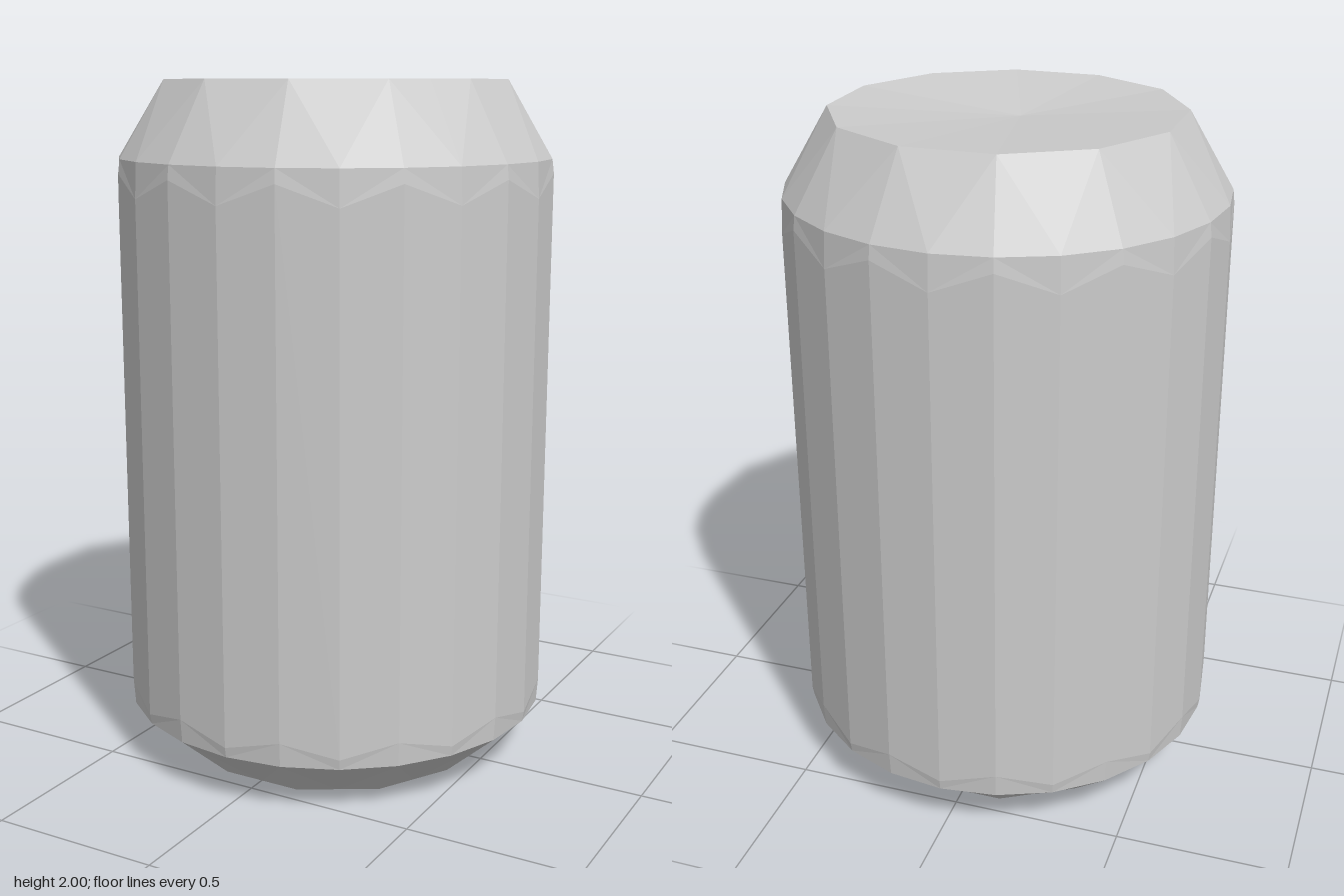
import * as THREE from 'three';

const SIDES = 24;

// One ring of points. 'coarse' puts every second point on the chord of a 12-sided outline;
// 'jag' alternates the height to give faceted, triangulated edges.
function ring(radius, y, { coarse = false, jag = 0, z = 0 } = {}) {
  const points = [];
  for (let i = 0; i < SIDES; i++) {
    const t = (i / SIDES) * Math.PI * 2;
    const r = coarse && i % 2 === 0 ? radius * Math.cos(Math.PI / 12) : radius;
    points.push([r * Math.sin(t), y + (i % 2 ? jag : -jag), r * Math.cos(t) + z]);
  }
  return points;
}

// Joins rings listed along the profile from underside centre to top centre
function skin(name, rings, material) {
  const pos = [];
  for (let k = 0; k < rings.length - 1; k++) {
    const a = rings[k], b = rings[k + 1];
    for (let i = 0; i < SIDES; i++) {
      const j = (i + 1) % SIDES;
      // alternate the diagonal so facets form a triangle pattern
      const tris = i % 2
        ? [a[i], a[j], b[i], a[j], b[j], b[i]]
        : [a[i], a[j], b[j], a[i], b[j], b[i]];
      for (let n = 0; n < 6; n += 3) {
        const [p, q, s] = tris.slice(n, n + 3).map((v) => new THREE.Vector3(...v));
        const area = q.clone().sub(p).cross(s.clone().sub(p)).length();
        if (area > 1e-6) pos.push(...p.toArray(), ...q.toArray(), ...s.toArray());
      }
    }
  }
  const geometry = new THREE.BufferGeometry();
  geometry.setAttribute('position', new THREE.Float32BufferAttribute(pos, 3));
  geometry.computeVertexNormals();
  const mesh = new THREE.Mesh(geometry, material);
  mesh.name = name;
  return mesh;
}

export function createModel() {
  const can = new THREE.Group();
  can.name = 'can';
  const metal = new THREE.MeshStandardMaterial({
    color: 0xcccccc, flatShading: true, side: THREE.DoubleSide,
  });

  const footRim = ring(0.46, 0, { coarse: true });
  const lowerEdge = ring(0.63, 0.15);
  const wallBottom = ring(0.635, 0.2, { jag: 0.02 });
  const wallTop = ring(0.635, 1.71, { jag: 0.03 });
  const upperEdge = ring(0.63, 1.78);
  const topRim = ring(0.5, 2, { coarse: true });

  can.add(
    // shallow dome pressed into the underside
    skin('base', [ring(0, 0.07), ring(0.25, 0.05, { coarse: true }), footRim], metal),
    skin('lowerChamfer', [footRim, lowerEdge, wallBottom], metal),
    skin('wall', [wallBottom, wallTop], metal),
    skin('shoulder', [wallTop, upperEdge, topRim], metal),
    // slightly sunken lid, deepest just in front of the middle
    skin('lid', [topRim, ring(0, 1.95, { z: 0.12 })], metal),
  );
  return can;
}
